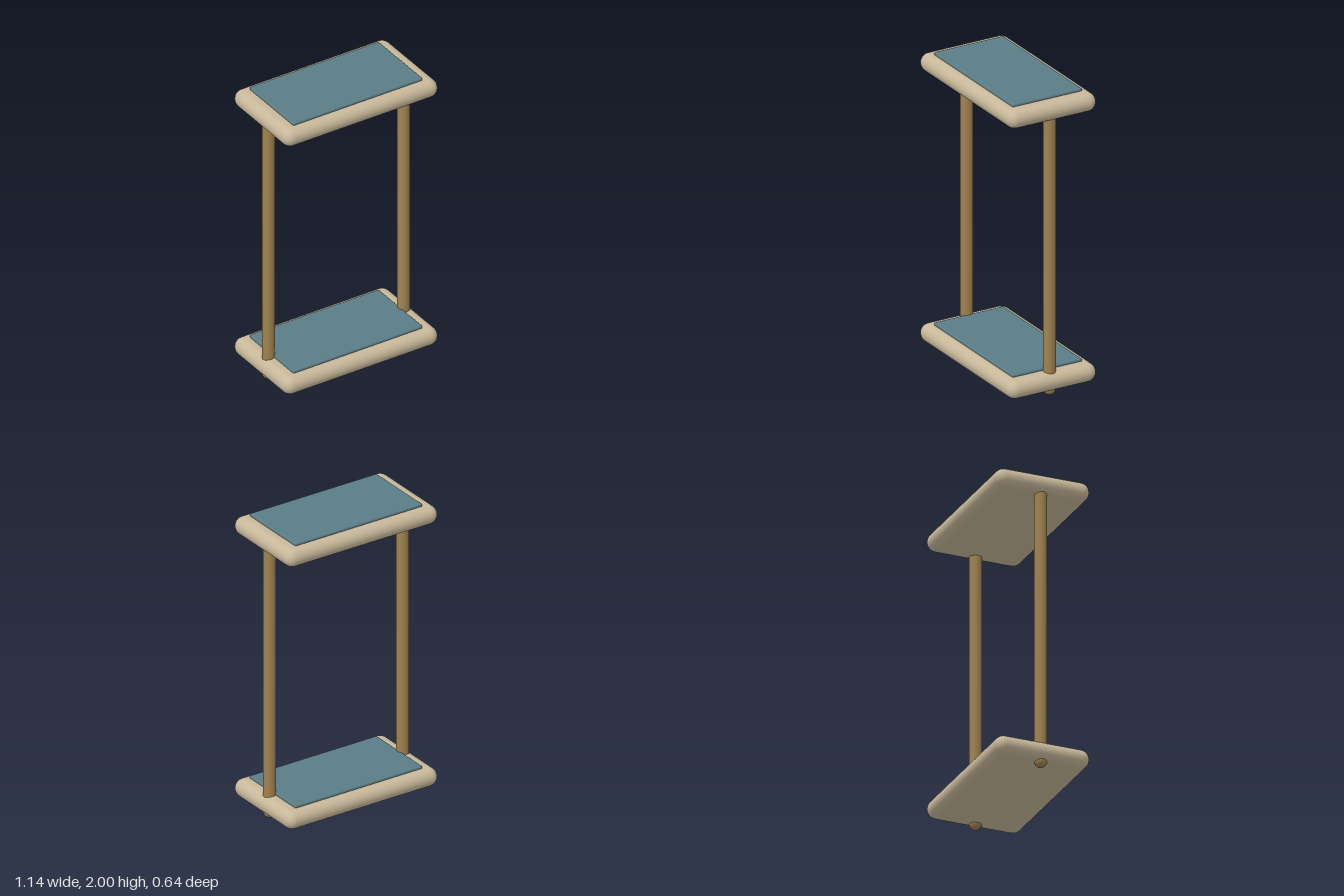
import * as THREE from 'three';
import { RoundedBoxGeometry } from 'three/addons/geometries/RoundedBoxGeometry.js';

const material = (name, color) => {
  const m = new THREE.MeshStandardMaterial({ color });
  m.name = name;
  return m;
};

export function createModel() {
  const cream = material('cream', 0xc8b89a);
  const teal = material('teal', 0x5a7d86);
  const wood = material('wood', 0xa08250);

  const model = new THREE.Group();
  const add = (name, geometry, mat, x, y, z, parent = model) => {
    const mesh = new THREE.Mesh(geometry, mat);
    mesh.name = name;
    mesh.position.set(x, y, z);
    parent.add(mesh);
  };

  // Two identical shelves: a thick soft-edged slab with a thin inset pad on top
  const slab = new RoundedBoxGeometry(1.14, 0.124, 0.636, 4, 0.062);
  const pad = new RoundedBoxGeometry(0.956, 0.024, 0.502, 3, 0.01);
  for (const [name, y] of [['lowerShelf', 0.097], ['upperShelf', 1.92]]) {
    const shelf = new THREE.Group();
    shelf.name = name;
    shelf.position.y = y;
    add('slab', slab, cream, 0, 0, 0, shelf);
    add('pad', pad, teal, 0, 0.068, 0, shelf);
    model.add(shelf);
  }

  // Round-ended posts pass through the lower shelf to form the feet
  const length = 1.92, radius = 0.04;
  const post = new THREE.CapsuleGeometry(radius, length - 2 * radius, 8, 24);
  add('leftPost', post, wood, 0.5, length / 2, 0);
  add('rightPost', post, wood, -0.5, length / 2, 0);

  return model;
}
